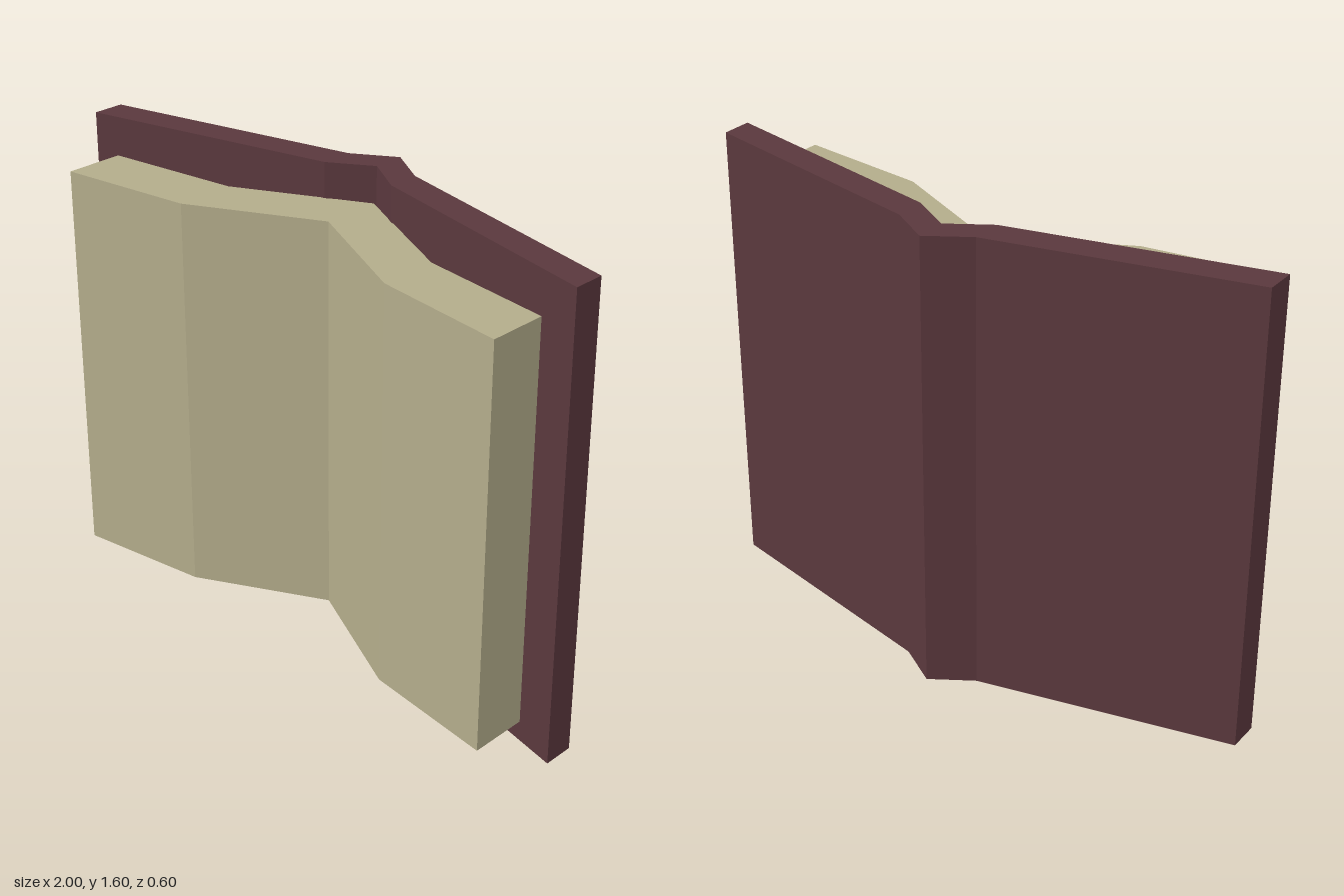
import * as THREE from 'three';

// Folded slab: half of the back edge as [x, z], mirrored, given a depth toward the front
function foldedSlab(name, half, depth, y0, y1, material) {
  const back = [...half.slice(1).reverse().map(([x, z]) => [-x, z]), ...half];
  const front = back.map(([x, z]) => [x, z + depth]).reverse();
  const shape = new THREE.Shape([...back, ...front].map(([x, z]) => new THREE.Vector2(x, -z)));
  const geometry = new THREE.ExtrudeGeometry(shape, { depth: y1 - y0, bevelEnabled: false });
  geometry.rotateX(-Math.PI / 2);
  geometry.translate(0, y0, 0);
  const mesh = new THREE.Mesh(geometry, material);
  mesh.name = name;
  return mesh;
}

export function createModel() {
  const leather = new THREE.MeshStandardMaterial({ name: 'darkRedLeather', color: 0x5a383d, flatShading: true });
  const paper = new THREE.MeshStandardMaterial({ name: 'agedPaper', color: 0xb3ac8b, flatShading: true });

  const book = new THREE.Group();
  book.name = 'openBook';
  // Cover with the raised spine
  book.add(foldedSlab('cover', [[0, -0.3], [0.14, -0.213], [1, -0.015]], 0.107, 0, 1.6, leather));
  // Page block, bent at the gutter and once on each side
  book.add(foldedSlab('pages', [[0, -0.18], [0.43, 0.035], [0.89, 0.098]], 0.202, 0.105, 1.48, paper));
  return book;
}
